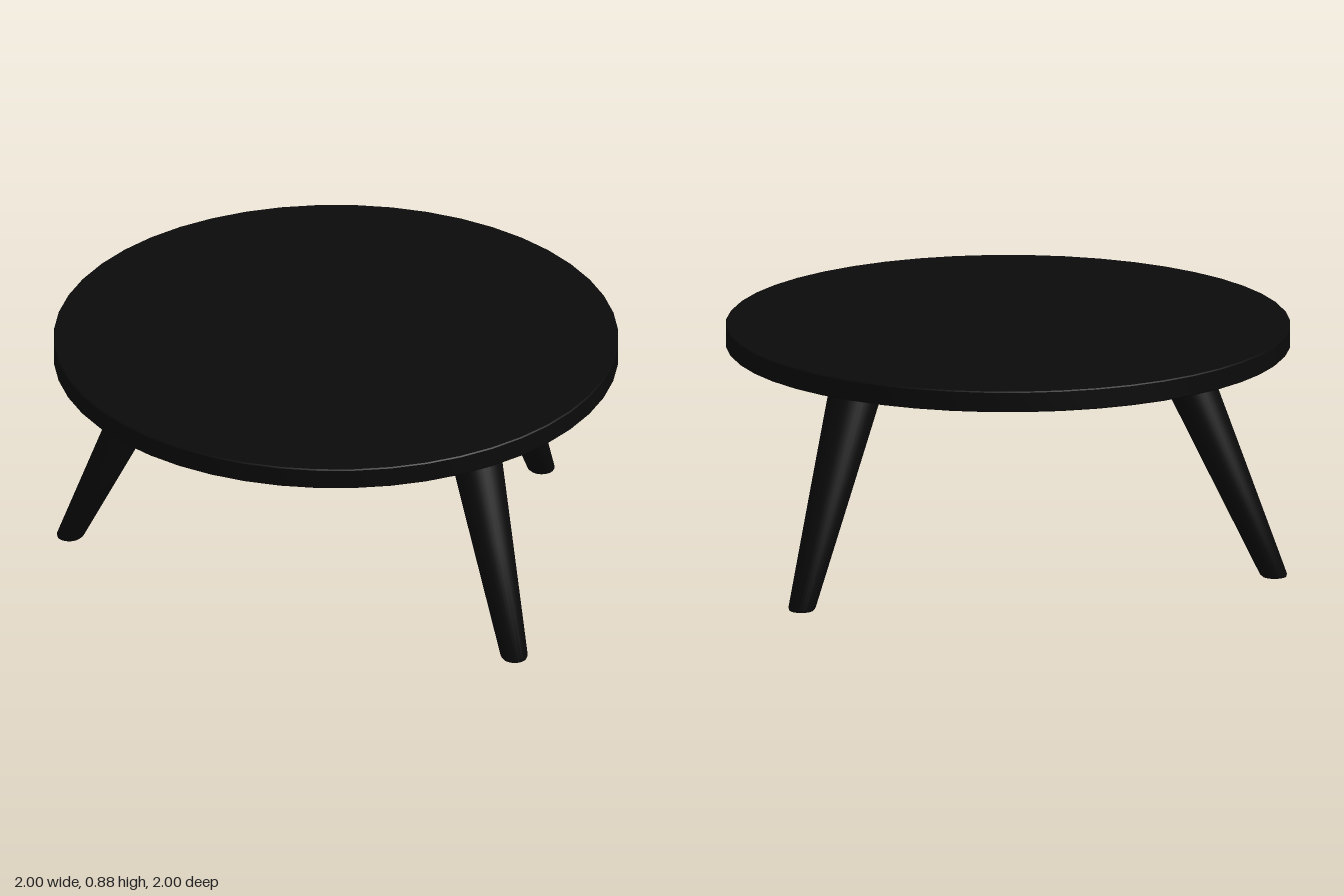
import * as THREE from 'three';
import { toCreasedNormals } from 'three/addons/utils/BufferGeometryUtils.js';

const material = new THREE.MeshStandardMaterial({ color: 0x0a0a0a });
const LEG_TOP = 0.806;

// Closed solid of revolution from [radius, height] pairs, bottom to top
function turned(profile, segments) {
  return new THREE.LatheGeometry(profile.map(([r, y]) => new THREE.Vector2(r, y)), segments);
}

function addPart(group, name, geometry) {
  const mesh = new THREE.Mesh(toCreasedNormals(geometry, 0.6), material);
  mesh.name = name;
  group.add(mesh);
}

// Tapered leg, sheared so that both ends stay horizontal
function legGeometry([topX, topZ], [footX, footZ]) {
  const geometry = turned([
    [0, 0], [0.042, 0], [0.048, 0.009], [0.074, 0.4], [0.099, 0.785],
    [0.098, 0.797], [0.093, LEG_TOP], [0, LEG_TOP],
  ], 32);
  const p = geometry.attributes.position;
  for (let i = 0; i < p.count; i++) {
    const t = p.getY(i) / LEG_TOP;
    p.setX(i, p.getX(i) + footX + (topX - footX) * t);
    p.setZ(i, p.getZ(i) + footZ + (topZ - footZ) * t);
  }
  return geometry;
}

export function createModel() {
  const table = new THREE.Group();
  table.name = 'roundTable';

  // Round top with a finely eased edge
  addPart(table, 'tableTop', turned([
    [0, 0.804], [0.994, 0.804], [0.998, 0.808],
    [0.998, 0.875], [0.994, 0.879], [0, 0.879],
  ], 48));

  // Three splayed legs: centre under the top, centre at the floor
  const legs = {
    frontLeftLeg: [[0.49, 0.38], [0.68, 0.71]],
    backLeftLeg: [[0.49, -0.41], [0.68, -0.71]],
    rightLeg: [[-0.595, -0.045], [-0.95, -0.095]],
  };
  for (const [name, [top, foot]] of Object.entries(legs)) {
    addPart(table, name, legGeometry(top, foot));
  }
  return table;
}
